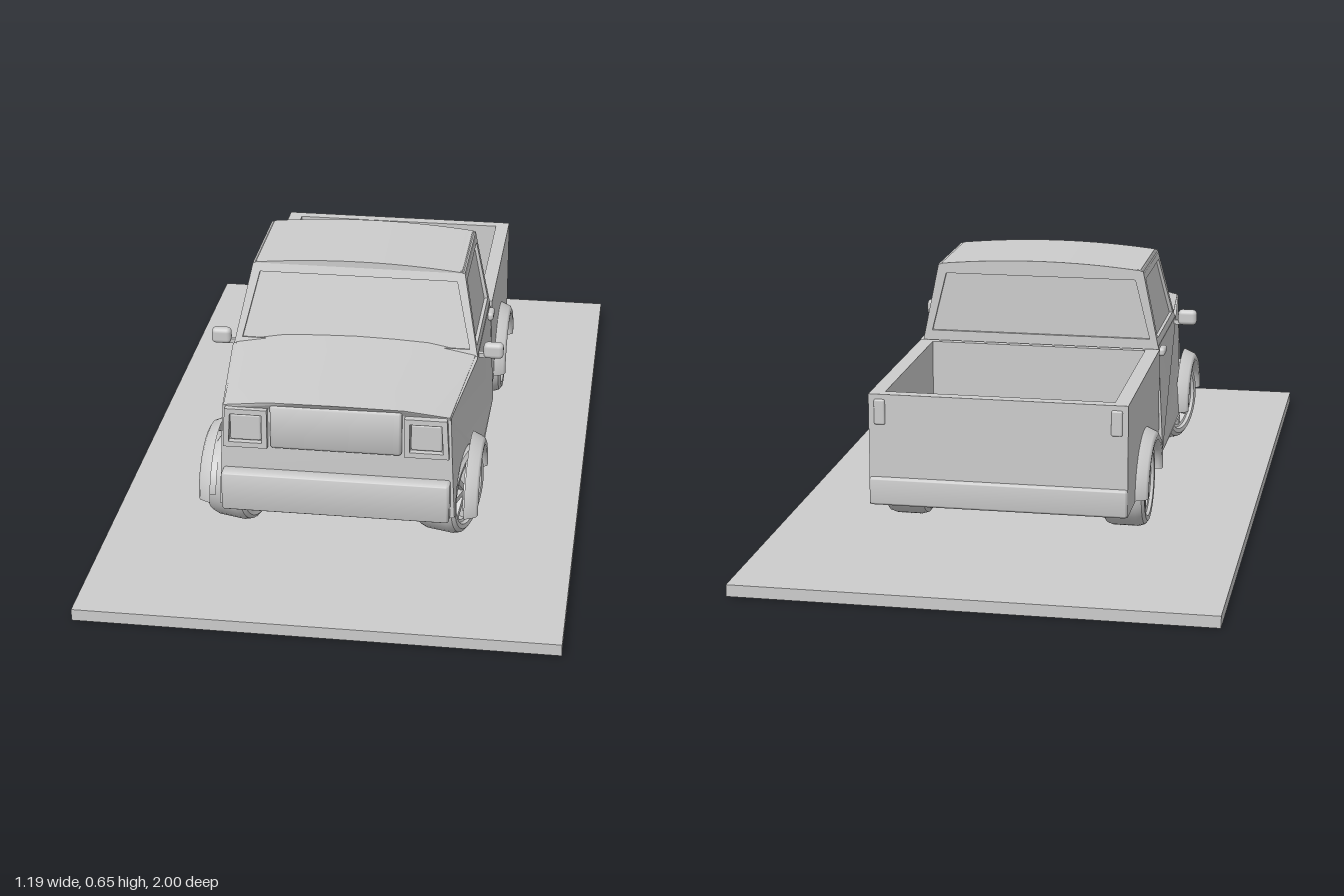
import * as THREE from 'three';
import { toCreasedNormals } from 'three/addons/utils/BufferGeometryUtils.js';
import { RoundedBoxGeometry } from 'three/addons/geometries/RoundedBoxGeometry.js';

const V = (x, y, z) => new THREE.Vector3(x, y, z);

export function createModel() {
  const grey = new THREE.MeshStandardMaterial({ color: 0xcccccc, side: THREE.DoubleSide });
  grey.name = 'plain grey';
  const model = new THREE.Group();
  model.name = 'pickupTruck';

  const add = (name, geometry, x = 0, y = 0, z = 0, parent = model) => {
    const mesh = new THREE.Mesh(geometry, grey);
    mesh.name = name;
    mesh.position.set(x, y, z);
    parent.add(mesh);
    return mesh;
  };
  const box = (w, h, d) => new THREE.BoxGeometry(w, h, d);
  const round = (w, h, d, r = 0.01) => new RoundedBoxGeometry(w, h, d, 3, r);

  // Moves every vertex by a rule
  const reshape = (geometry, rule) => {
    const p = geometry.attributes.position, v = V(0, 0, 0);
    for (let i = 0; i < p.count; i++) {
      rule(v.fromBufferAttribute(p, i));
      p.setXYZ(i, v.x, v.y, v.z);
    }
    return toCreasedNormals(geometry, 0.6);
  };

  // Side outline (z, y) extruded across x, centred
  const sideExtrude = (shape, width) =>
    new THREE.ExtrudeGeometry(shape, { depth: width, bevelEnabled: false, curveSegments: 24 })
      .translate(0, 0, -width / 2).rotateY(-Math.PI / 2);

  // Flat frame whose outer face fills four corners, with an inset opening
  const frame = (name, corners, margin, t = 0.01) => {
    const [a, b, , d] = corners;
    const u = b.clone().sub(a).normalize();
    const n = u.clone().cross(d.clone().sub(a)).normalize();
    const v = n.clone().cross(u);
    const flat = corners.map((c) => {
      const q = c.clone().sub(a);
      return new THREE.Vector2(q.dot(u), q.dot(v));
    });
    const mid = flat.reduce((s, q) => s.add(q), new THREE.Vector2()).multiplyScalar(0.25);
    const w = flat[1].x, h = flat[2].y;
    const shape = new THREE.Shape(flat);
    shape.holes.push(new THREE.Path(flat.map((q) => new THREE.Vector2(
      mid.x + (q.x - mid.x) * (1 - 2 * margin / w),
      mid.y + (q.y - mid.y) * (1 - 2 * margin / h)))));
    const g = new THREE.ExtrudeGeometry(shape, { depth: t, bevelEnabled: false });
    g.translate(0, 0, -t);
    g.applyMatrix4(new THREE.Matrix4().makeBasis(u, v, n).setPosition(a));
    return add(name, g);
  };

  // Display base
  add('basePlate', box(1.19, 0.03, 2), 0, 0.015, 0);

  // Lower cab and nose with open wheel arches, narrowing upward and forward
  const nose = new THREE.Shape();
  nose.moveTo(-0.075, 0.14);
  nose.lineTo(0.3, 0.14);
  nose.lineTo(0.34, 0.14);
  nose.absellipse(0.47, 0.14, 0.13, 0.118, Math.PI, 0, true);
  [[0.62, 0.14], [0.62, 0.3], [0.615, 0.415], [0.3, 0.43], [-0.075, 0.43]]
    .forEach(([z, y]) => nose.lineTo(z, y));
  add('lowerBody', reshape(sideExtrude(nose, 2), (v) => {
    const up = (v.y - 0.14) / 0.29, forward = Math.max(0, (v.z - 0.3) / 0.32);
    v.x *= (0.335 - 0.015 * up) * (1 - 0.11 * forward);
  }));

  // Bonnet with a raised middle and a bowed front edge
  const hood = new THREE.Shape([[-0.315, 0.425], [0.315, 0.425], [0.315, 0.433], [0.19, 0.453],
    [0.1, 0.457], [0, 0.459], [-0.1, 0.457], [-0.19, 0.453], [-0.315, 0.433]]
    .map(([x, y]) => new THREE.Vector2(x, y)));
  const hoodGeometry = new THREE.ExtrudeGeometry(hood, { depth: 1, steps: 4, bevelEnabled: false });
  add('bonnet', reshape(hoodGeometry, (v) => {
    const t = v.z;
    v.x *= 1 - 0.1 * t;
    v.y -= 0.016 * t;
    v.z = 0.26 + t * (0.382 - 0.025 * (v.x / 0.28) ** 2);
  }));

  // Grille panel and headlights
  add('grille', reshape(new RoundedBoxGeometry(0.33, 0.12, 0.05, 4, 0.008),
    (v) => { v.z -= 0.3 * v.x * v.x; }), 0, 0.37, 0.615);
  for (const s of [-1, 1]) {
    const xs = s > 0 ? [0.172, 0.284] : [-0.284, -0.172];
    frame('headlightFrame', [V(xs[0], 0.31, 0.635), V(xs[1], 0.31, 0.635),
      V(xs[1] - (s > 0 ? 0.006 : 0), 0.415, 0.635), V(xs[0] + (s < 0 ? 0.006 : 0), 0.415, 0.635)], 0.014, 0.02);
    add('headlight', round(0.078, 0.072, 0.014, 0.006), s * 0.227, 0.362, 0.62);
  }

  // Bumpers, bowed outward in the middle
  const bumper = (name, w, h, d, y, z) => add(name, reshape(
    new RoundedBoxGeometry(w, h, d, 5, 0.008),
    (v) => { v.z -= Math.sign(z) * 0.15 * v.x * v.x; }), 0, y, z);
  bumper('frontBumper', 0.575, 0.105, 0.045, 0.193, 0.645);
  bumper('rearBumper', 0.65, 0.072, 0.032, 0.176, -0.666);

  // Cab glass core, set in behind the pillars
  add('cabGlass', reshape(box(2, 1, 1), (v) => {
    const top = v.y > 0;
    v.x *= top ? 0.269 : 0.31;
    v.z = v.z < 0 ? -0.067 : top ? 0.207 : 0.272;
    v.y = top ? 0.635 : 0.425;
  }));
  const low = (s, z) => V(s * 0.32, 0.425, z), high = (s, z) => V(s * 0.277, 0.632, z);
  const F = 0.282, T = 0.215, B = -0.075;
  frame('windscreenFrame', [low(-1, F), low(1, F), high(1, T), high(-1, T)], 0.022);
  frame('rearWindowFrame', [low(1, B), low(-1, B), high(-1, B), high(1, B)], 0.024);
  frame('leftDoorFrame', [low(1, F), low(1, B), high(1, B), high(1, T)], 0.024);
  frame('rightDoorFrame', [low(-1, B), low(-1, F), high(-1, T), high(-1, B)], 0.024);

  // Crowned roof
  const roof = new THREE.Shape();
  roof.moveTo(-0.279, 0.625);
  roof.lineTo(0.279, 0.625);
  roof.lineTo(0.27, 0.634);
  roof.quadraticCurveTo(0, 0.664, -0.27, 0.634);
  const roofGeometry = new THREE.ExtrudeGeometry(roof, { depth: 0.29, bevelEnabled: false, curveSegments: 16 });
  add('roof', toCreasedNormals(roofGeometry, 0.5), 0, 0, B);

  // Load bed: arched sides, end walls, floor and wheel boxes
  const side = new THREE.Shape();
  side.moveTo(-0.65, 0.14);
  side.lineTo(-0.495, 0.14);
  side.absellipse(-0.365, 0.14, 0.13, 0.118, Math.PI, 0, true);
  [[-0.086, 0.14], [-0.086, 0.425], [-0.65, 0.425]].forEach(([z, y]) => side.lineTo(z, y));
  for (const s of [-1, 1]) {
    add('bedSide', toCreasedNormals(sideExtrude(side, 0.037), 0.5), s * 0.3065, 0, 0);
    add('wheelBox', round(0.12, 0.1, 0.27, 0.02), s * 0.23, 0.25, -0.375);
    add('tailLight', round(0.028, 0.065, 0.012, 0.005), s * 0.297, 0.38, -0.656);
  }
  add('bedFrontWall', box(0.6, 0.285, 0.02), 0, 0.2825, -0.096);
  add('tailgate', box(0.65, 0.285, 0.03), 0, 0.2825, -0.642);
  add('bedFloor', box(0.58, 0.02, 0.55), 0, 0.22, -0.37);

  // Mirrors and door handles
  for (const s of [-1, 1]) {
    add('mirror', round(0.052, 0.043, 0.028, 0.012), s * 0.358, 0.436, 0.25);
    add('mirrorArm', box(0.04, 0.012, 0.014), s * 0.325, 0.422, 0.25);
    add('doorHandle', round(0.02, 0.022, 0.05, 0.008), s * 0.325, 0.41, -0.035);
  }

  // Flared arch lip: half a revolved profile of (radius, outward distance)
  const flareProfile = [[0.121, 0.315], [0.122, 0.345], [0.128, 0.355], [0.14, 0.356], [0.152, 0.35], [0.166, 0.322]]
    .map(([r, h]) => new THREE.Vector2(r, h));
  const flare = new THREE.LatheGeometry(flareProfile, 32, Math.PI, Math.PI).rotateZ(-Math.PI / 2).scale(1, 0.86, 1);

  // Wheel with its outer face toward +x
  const tyreProfile = [[0.078, -0.05], [0.1, -0.055], [0.11, -0.048], [0.115, -0.032], [0.115, 0.032],
    [0.11, 0.048], [0.1, 0.055], [0.088, 0.054], [0.084, 0.046], [0.078, 0.044], [0.074, 0.02], [0.078, -0.05]]
    .map(([r, h]) => new THREE.Vector2(r, h));
  const tyre = toCreasedNormals(new THREE.LatheGeometry(tyreProfile, 40).rotateZ(-Math.PI / 2), 0.6);
  const disc = (r, w) => new THREE.CylinderGeometry(r, r, w, 32).rotateZ(-Math.PI / 2);
  const wheel = (x, z, steer) => {
    const g = new THREE.Group();
    g.name = z > 0 ? 'frontWheel' : 'rearWheel';
    g.position.set(x, 0.145, z);
    g.rotation.y = (x < 0 ? Math.PI : 0) + steer;
    add('tyre', tyre, 0, 0, 0, g);
    add('rimBack', disc(0.078, 0.02), 0.005, 0, 0, g);
    add('hub', disc(0.02, 0.045), 0.025, 0, 0, g);
    for (let i = 0; i < 8; i++) {
      const a = i * Math.PI / 4;
      const spoke = add('spoke', box(0.018, 0.066, 0.014), 0.036, 0.048 * Math.cos(a), 0.048 * Math.sin(a), g);
      spoke.rotation.x = a;
    }
    model.add(g);
  };

  // Front wheels are steered; axles join each pair
  for (const [z, steer] of [[0.465, -0.28], [-0.365, 0]]) {
    for (const s of [-1, 1]) {
      wheel(s * (steer ? 0.27 : 0.285), z, steer);
      const lip = add('archFlare', flare, 0, 0.143, z);
      if (s < 0) lip.rotation.y = Math.PI;
    }
    add('axle', box(0.46, 0.045, 0.08), 0, 0.128, z);
  }
  return model;
}
